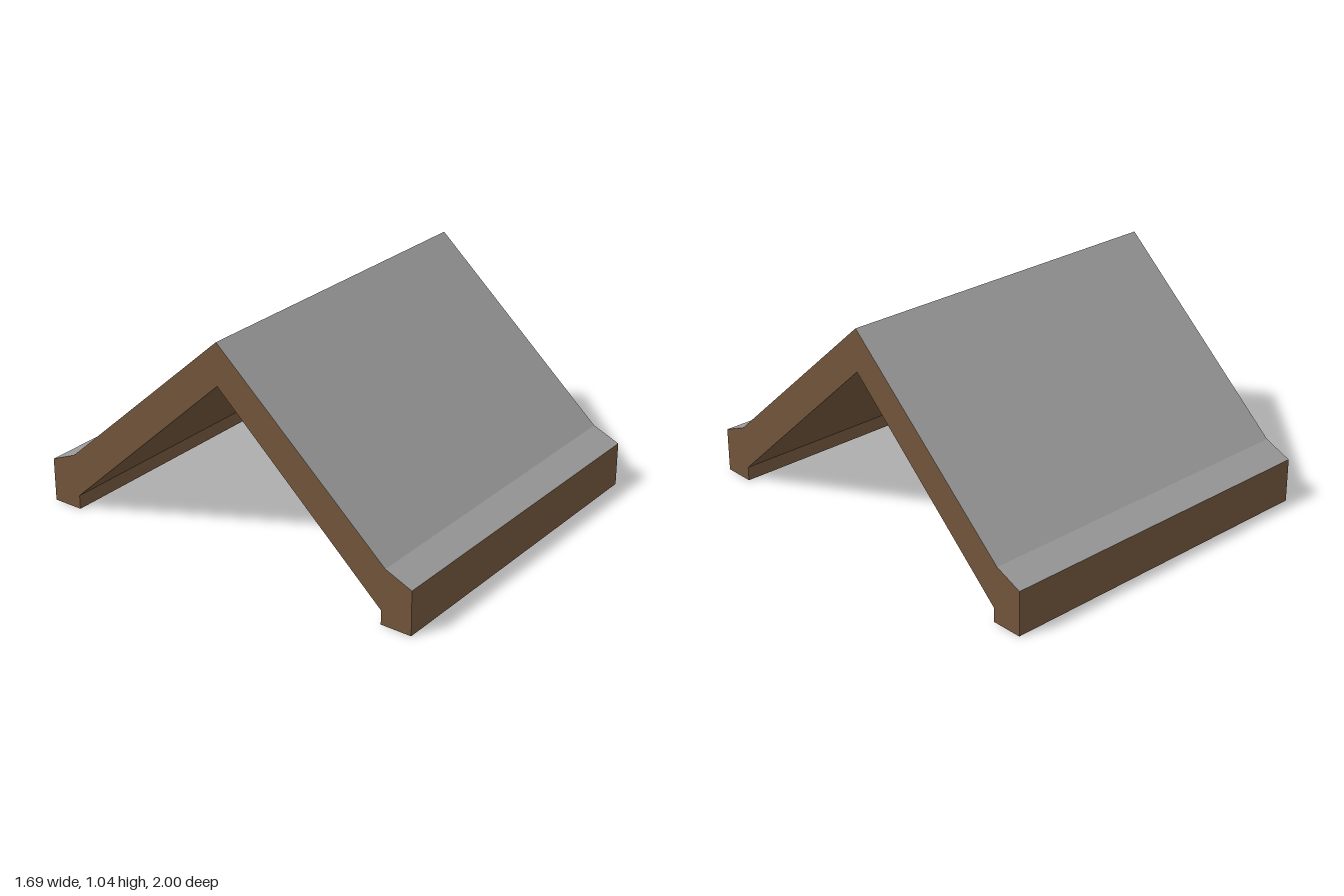
import * as THREE from 'three';

const WIDTH = 1.69;

// Half of the gable section as [z, y]: outer edge from eave to ridge, then inner edge back down
const OUTER = [[1, 0], [1, 0.212], [0.868, 0.268], [0, 1.045]];
const INNER = [[0, 0.845], [0.848, 0.068], [0.848, 0]];

export function createModel() {
  const wood = new THREE.MeshStandardMaterial({ name: 'brownWood', color: 0x70543b });
  const slate = new THREE.MeshStandardMaterial({ name: 'greyRoofing', color: 0x999999 });

  // Mirror the half section into a closed outline
  const flip = ([z, y]) => [-z, y];
  const outline = [
    ...OUTER, ...OUTER.slice(0, -1).reverse().map(flip),
    ...INNER.slice(1).reverse().map(flip), ...INNER,
  ].map(([z, y]) => new THREE.Vector2(z, y));

  const body = new THREE.ExtrudeGeometry(new THREE.Shape(outline), { depth: WIDTH, bevelEnabled: false });
  body.translate(0, 0, -WIDTH / 2).rotateY(-Math.PI / 2);

  // Faces that look upward are roofing, all others are timber
  const parts = { roof: [], timber: [] };
  const pos = body.getAttribute('position');
  const normal = body.getAttribute('normal');
  for (let i = 0; i < pos.count; i += 3) {
    const target = normal.getY(i) > 0.1 ? parts.roof : parts.timber;
    for (let k = i; k < i + 3; k++) target.push(pos.getX(k), pos.getY(k), pos.getZ(k));
  }

  const addPart = (name, points, material) => {
    const geometry = new THREE.BufferGeometry();
    geometry.setAttribute('position', new THREE.Float32BufferAttribute(points, 3));
    geometry.computeVertexNormals();
    const mesh = new THREE.Mesh(geometry, material);
    mesh.name = name;
    return mesh;
  };

  const group = new THREE.Group();
  group.name = 'gableRoof';
  group.add(
    addPart('roofCovering', parts.roof, slate),
    addPart('timberFrame', parts.timber, wood),
  );
  return group;
}
